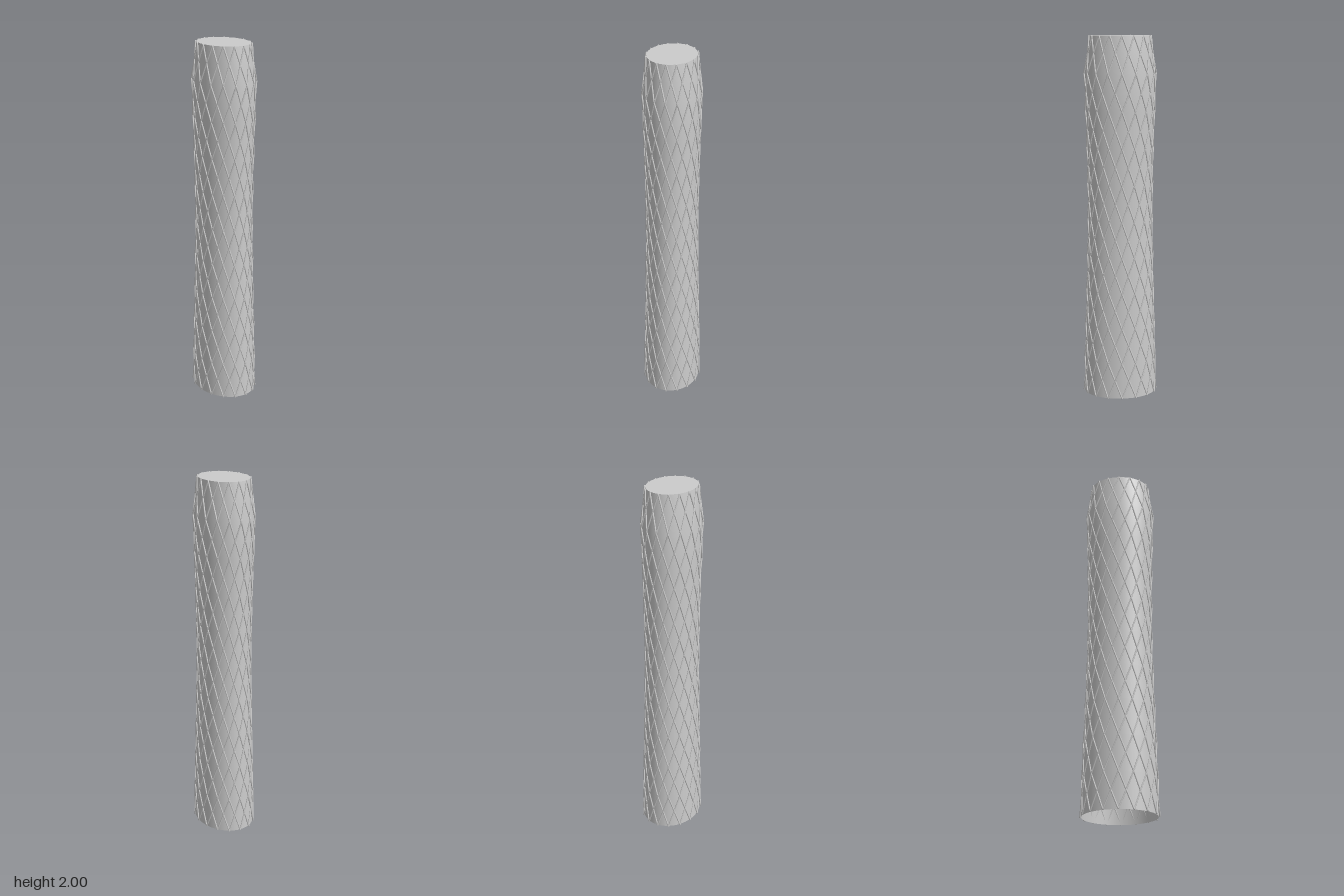
import * as THREE from 'three';
import { mergeGeometries } from 'three/addons/utils/BufferGeometryUtils.js';

const HEIGHT = 2;
const DEPTH = 0.8; // z radius relative to x radius
const SIDES = 16; // lattice nodes around the tower
// x radius of the shell at equal height steps, waisted in the middle
const RADII = [0.2, 0.195, 0.189, 0.183, 0.178, 0.174, 0.175, 0.178, 0.184, 0.19, 0.163];
const LEVELS = RADII.length - 1;
const BEAM = 0.004;

// Lattice node just outside the shell
function node(level, k) {
  const a = (k / SIDES) * Math.PI * 2;
  const r = RADII[level] * 1.03;
  return new THREE.Vector3(r * Math.cos(a), (level / LEVELS) * HEIGHT, r * DEPTH * Math.sin(a));
}

// Straight round bar between two points
function bar(a, b) {
  const dir = b.clone().sub(a);
  const g = new THREE.CylinderGeometry(BEAM, BEAM, dir.length(), 8);
  g.applyQuaternion(new THREE.Quaternion().setFromUnitVectors(new THREE.Vector3(0, 1, 0), dir.normalize()));
  return g.translate((a.x + b.x) / 2, (a.y + b.y) / 2, (a.z + b.z) / 2);
}

export function createModel() {
  const group = new THREE.Group();
  group.name = 'latticeTower';
  const grey = new THREE.MeshStandardMaterial({ color: 0xcccccc });
  const greyDouble = new THREE.MeshStandardMaterial({ color: 0xcccccc, side: THREE.DoubleSide });

  // Oval shell, open at the bottom
  const profile = RADII.map((r, i) => new THREE.Vector2(r, (i / LEVELS) * HEIGHT));
  const shell = new THREE.Mesh(new THREE.LatheGeometry(profile, 64).scale(1, 1, DEPTH), greyDouble);
  shell.name = 'shell';
  group.add(shell);

  // Flat oval roof
  const roofGeo = new THREE.CircleGeometry(RADII[LEVELS], 64).rotateX(-Math.PI / 2);
  const roof = new THREE.Mesh(roofGeo.scale(1, 1, DEPTH), greyDouble);
  roof.name = 'roof';
  roof.position.y = HEIGHT;
  group.add(roof);

  // Crossing diagonal bars, one set per winding direction
  for (const turn of [1, -1]) {
    const bars = [];
    for (let level = 0; level < LEVELS; level++) {
      for (let k = 0; k < SIDES; k++) bars.push(bar(node(level, k), node(level + 1, k + turn)));
    }
    const lattice = new THREE.Mesh(mergeGeometries(bars), grey);
    lattice.name = turn > 0 ? 'latticeClockwise' : 'latticeCounterclockwise';
    group.add(lattice);
  }
  return group;
}
